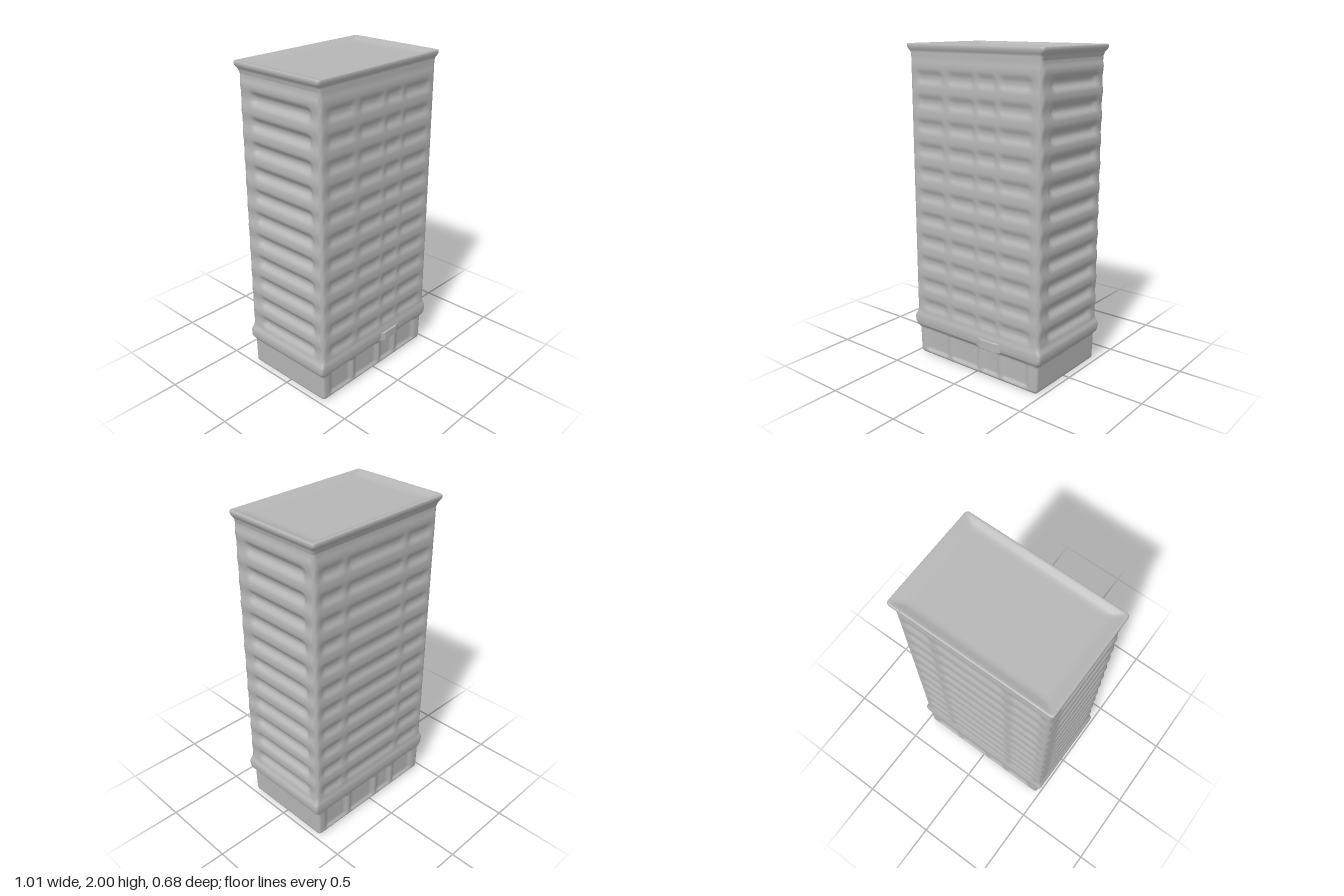
import * as THREE from 'three';

const stone = new THREE.MeshStandardMaterial({ color: 0xb6b6b6 });
stone.name = 'pale grey stone';

const FLOOR = 0.145, FIRST = 0.31, TOP = 1.9;
const step = (a, b, v) => THREE.MathUtils.smoothstep(v, a, b);
const bump = (a, b, soft, v) => step(a - soft, a + soft, v) * (1 - step(b - soft, b + soft, v));

// Vertical profile: [y, half width, half depth, z centre]
const profile = [
  [0.004, 0.462, 0.300, -0.005], [0.015, 0.473, 0.310, -0.005],
  [0.18, 0.477, 0.311, -0.005], [0.205, 0.497, 0.320, 0], [0.225, 0.504, 0.324, 0],
  [0.265, 0.504, 0.324, 0], [0.285, 0.492, 0.318, 0], [0.31, 0.485, 0.314, 0],
  [1.93, 0.484, 0.314, -0.004], [1.955, 0.490, 0.318, -0.008], [1.972, 0.502, 0.328, -0.01],
  [1.985, 0.506, 0.331, -0.01], [1.995, 0.505, 0.330, -0.01],
];
function sample(y) {
  let i = 0;
  while (i < profile.length - 2 && y > profile[i + 1][0]) i++;
  const a = profile[i], b = profile[i + 1];
  const t = THREE.MathUtils.clamp((y - a[0]) / (b[0] - a[0]), 0, 1);
  return a.map((v, k) => (k ? v + (b[k] - v) * t : y));
}

// Window bays, measured along each face: front, right, back, left
const sideBays = [[-0.21, 0.24]];
const bays = [
  [[-0.42, -0.23], [-0.17, 0.01], [0.05, 0.17], [0.21, 0.42]],
  sideBays,
  [[-0.43, -0.28], [-0.23, 0.2], [0.25, 0.43]],
  sideBays,
];
const doors = [[-0.41, -0.23], [-0.19, 0.02], [0.06, 0.18], [0.22, 0.4]];

// Outward displacement of the wall at height y, distance a along a face
function relief(face, a, y) {
  if (y < 0.205) {
    if (face % 2) return 0;
    const door = Math.max(...doors.map(([l, r]) => bump(l, r, 0.015, a)));
    return -0.014 * door * bump(0.03, 0.185, 0.012, y);
  }
  const inShaft = bump(FIRST, TOP, 0.02, y);
  if (!inShaft) return 0;
  const p = (((y - FIRST) / FLOOR) % 1 + 1) % 1;
  const bay = Math.max(...bays[face].map(([l, r]) => bump(l, r, 0.022, a)));
  const sill = 0.5 + 0.5 * Math.cos(2 * Math.PI * (p - 0.78));
  const pane = bump(0.1, 0.5, 0.12, p);
  const depth = face % 2 ? 0.019 : 0.01;
  return inShaft * (0.008 * sill * (face % 2 ? 1 : 0.5) - depth * pane * bay);
}

// A ring of points around a rounded rectangle, with relief pushed along the normals
const normals = [[0, 1], [1, 0], [0, -1], [-1, 0]];
function ring(y, hx, hz, cz, useRelief) {
  const r = 0.018, pts = [];
  normals.forEach(([nx, nz], face) => {
    const tx = nz, tz = -nx, long = face % 2 === 0;
    const half = (long ? hx : hz) - r, out = (long ? hz : hx) - r, n = long ? 64 : 40;
    for (let i = 0; i <= n; i++) {
      const a = half * (2 * i / n - 1);
      const d = out + r + (useRelief ? relief(face, a, y) : 0);
      pts.push([nx * d + tx * a, y, nz * d + tz * a + cz]);
    }
    for (let i = 1; i < 4; i++) {
      const c = r * Math.cos(i * Math.PI / 8), s = r * Math.sin(i * Math.PI / 8);
      pts.push([nx * (out + c) + tx * (half + s), y, nz * (out + c) + tz * (half + s) + cz]);
    }
  });
  return pts;
}

// Joins rings from the bottom up and optionally closes the last one
function loft(rings, closeTop, closeBottom) {
  const n = rings[0].length, pos = rings.flat(2), idx = [];
  for (let j = 0; j < rings.length - 1; j++) {
    for (let i = 0; i < n; i++) {
      const a = j * n + i, b = j * n + (i + 1) % n;
      idx.push(a, b, a + n, b, b + n, a + n);
    }
  }
  const cap = (start, y, up) => {
    const c = pos.length / 3;
    pos.push(0, y, 0);
    for (let i = 0; i < n; i++) {
      const a = start + i, b = start + (i + 1) % n;
      if (up) idx.push(a, b, c); else idx.push(b, a, c);
    }
  };
  if (closeTop) cap((rings.length - 1) * n, rings.at(-1)[0][1], true);
  if (closeBottom) cap(0, rings[0][0][1], false);
  const g = new THREE.BufferGeometry();
  g.setAttribute('position', new THREE.Float32BufferAttribute(pos, 3));
  g.setIndex(idx);
  g.computeVertexNormals();
  return g;
}

function walls(y0, y1, rows) {
  const out = [];
  for (let j = 0; j <= rows; j++) out.push(ring(...sample(y0 + (y1 - y0) * j / rows), true));
  return out;
}

export function createModel() {
  const group = new THREE.Group();
  group.name = 'towerBlock';
  const add = (name, geometry) => {
    const m = new THREE.Mesh(geometry, stone);
    m.name = name;
    group.add(m);
    return m;
  };

  // Ground floor with shallow entrance bays and a softened foot
  const foot = [ring(0, 0.44, 0.278, -0.005), ring(0, 0.453, 0.291, -0.005)];
  add('groundFloor', loft([...foot, ...walls(0.004, 0.205, 24)], false, true));

  // Belt course and the stacked storeys
  add('storeys', loft(walls(0.205, 1.93, 132), false, false));

  // Cornice rolling over into a slightly sunken roof
  const roof = [[1.999, 0.503, 0.328], [2, 0.497, 0.322], [1.998, 0.485, 0.312],
    [1.988, 0.455, 0.29], [1.982, 0.43, 0.272], [1.981, 0.4, 0.25]];
  add('corniceAndRoof', loft([...walls(1.93, 1.995, 12),
    ...roof.map(([y, hx, hz]) => ring(y, hx, hz, -0.01))], true, false));

  // Entrance canopy: a tapered ledge over the front door
  const s = new THREE.Shape();
  [[0.03, 0.3], [0.03, 0.318], [0.065, 0.334], [0.17, 0.334], [0.21, 0.318], [0.21, 0.3]]
    .forEach(([x, z], i) => (i ? s.lineTo(x, -z) : s.moveTo(x, -z)));
  const canopy = new THREE.ExtrudeGeometry(s, {
    depth: 0.05, bevelEnabled: true, bevelSize: 0.003, bevelThickness: 0.006, bevelSegments: 2,
  });
  canopy.rotateX(-Math.PI / 2).translate(0, 0.2, 0);
  add('entranceCanopy', canopy);

  return group;
}
